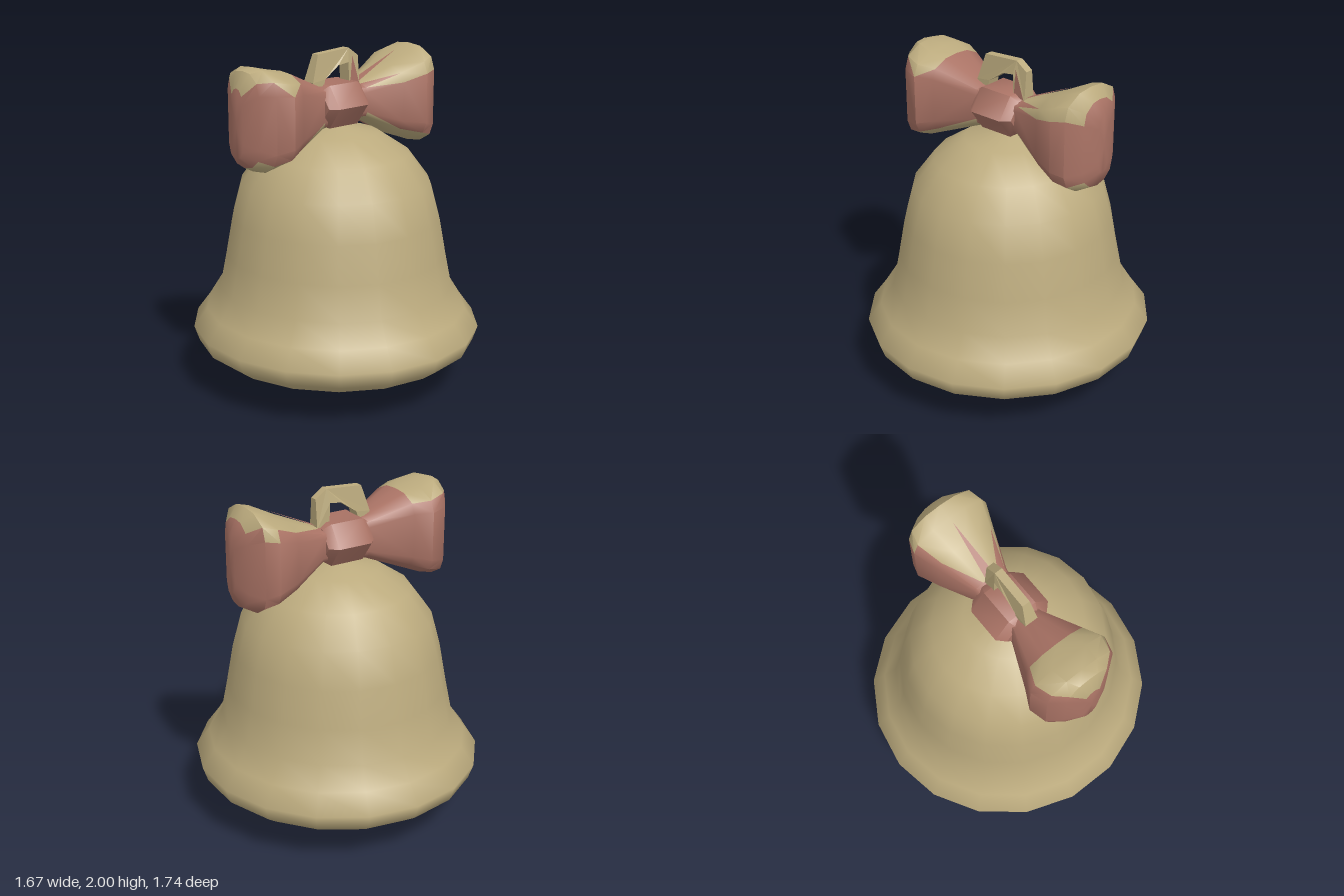
import * as THREE from 'three';
import { toCreasedNormals } from 'three/addons/utils/BufferGeometryUtils.js';

const gold = new THREE.MeshStandardMaterial({ color: 0xbcab7e });
gold.name = 'gold';
const red = new THREE.MeshStandardMaterial({ color: 0xaa7365 });
red.name = 'ribbon red';

function add(group, name, geometry, material) {
  const mesh = new THREE.Mesh(geometry, material);
  mesh.name = name;
  group.add(mesh);
  return mesh;
}

const lathe = (profile, sides) =>
  new THREE.LatheGeometry(profile.map(([x, y]) => new THREE.Vector2(x, y)), sides);

// Single flat triangle, for thin painted marks
function triangle(points) {
  const geometry = new THREE.BufferGeometry();
  geometry.setAttribute('position', new THREE.Float32BufferAttribute(points, 3));
  geometry.computeVertexNormals();
  return geometry;
}

// Rough five-sided mouth of the bell, corners as [x, z]
const mouth = [[0.72, -0.1], [0.1, -0.72], [-0.43, -0.57], [-0.59, 0.42], [0.36, 0.62]];
function mouthRadius(x, z) {
  let radius = Infinity;
  mouth.forEach(([px, pz], i) => {
    const [qx, qz] = mouth[(i + 1) % mouth.length];
    const ex = qx - px, ez = qz - pz;
    const t = (px * ez - pz * ex) / (x * ez - z * ex);
    if (t > 0) radius = Math.min(radius, t);
  });
  return radius;
}

// Inside of the bell: round at the crown, blending to the five-sided mouth at the rim
function bellInside() {
  const geometry = lathe([
    [0, 1.45], [0.3, 1.36], [0.47, 1.15], [0.53, 0.9], [0.58, 0.55], [0.65, 0.33],
    [0.7, 0.215], [0.74, 0.21],
  ], 18);
  const p = geometry.attributes.position;
  for (let i = 0; i < p.count; i++) {
    const x = p.getX(i), z = p.getZ(i), r = Math.hypot(x, z);
    if (r < 0.01 || r > 0.72) continue;
    const blend = THREE.MathUtils.clamp((1 - p.getY(i)) / 0.78, 0, 1);
    const k = THREE.MathUtils.lerp(1, mouthRadius(x / r, z / r) / 0.7, blend);
    p.setX(i, x * k);
    p.setZ(i, z * k);
  }
  return toCreasedNormals(geometry, 0.7);
}

// Cross-section of a bow loop as [height, depth] fractions, from the top round towards +z
const half = [[1, 0], [0.97, 0.45], [0.8, 0.88], [0.55, 1], [-0.55, 1], [-0.78, 0.88], [-0.95, 0.5], [-1, 0]];
const section = [...half, ...half.slice(1, -1).reverse().map(([y, z]) => [y, -z])];
const isTop = (j) => j < 2 || j > 11;
const isShoulder = (j) => j === 2 || j === 11;
const isFrontBottom = (j) => j === 5 || j === 6;

// Bow loop through stations [x, bottom, top, half depth]; goldAt says which triangles are
// gold, "near" marking the triangle of each quad whose base is towards the knot
function bowLoop(side, stations, goldAt) {
  const rings = stations.map(([x, lo, hi, d]) => section.map(([fy, fz]) =>
    [side * x, (lo + hi) / 2 + fy * (hi - lo) / 2, fz * d]));
  const faces = [[], []];
  const n = section.length;
  for (let i = 0; i < rings.length - 1; i++) {
    for (let j = 0; j < n; j++) {
      const k = (j + 1) % n;
      const a = rings[i][j], b = rings[i][k], c = rings[i + 1][k], d = rings[i + 1][j];
      // diagonals mirror front to back, and flip past the middle of the loop
      const flip = (i === 3) !== (j >= 7);
      const tris = flip ? [[a, b, d], [b, c, d]] : [[a, b, c], [a, c, d]];
      tris.forEach((t, index) => {
        const tri = side > 0 ? t : [t[0], t[2], t[1]];
        faces[goldAt(i, j, index === 0) ? 0 : 1].push(...tri.flat());
      });
    }
  }
  const geometry = new THREE.BufferGeometry();
  geometry.setAttribute('position', new THREE.Float32BufferAttribute(faces.flat(), 3));
  geometry.addGroup(0, faces[0].length / 3, 0);
  geometry.addGroup(faces[0].length / 3, faces[1].length / 3, 1);
  return toCreasedNormals(geometry, 0.75);
}

export function createModel() {
  const model = new THREE.Group();
  model.name = 'bell';

  // Bell shell, outside and inside
  const shell = new THREE.Group();
  shell.name = 'bellShell';
  shell.scale.z = 1.025;
  model.add(shell);
  add(shell, 'bellOutside', lathe([
    [0.74, 0.21], [0.82, 0.27], [0.85, 0.36], [0.77, 0.47], [0.69, 0.6],
    [0.65, 0.8], [0.61, 1.02], [0.555, 1.23], [0.43, 1.4], [0.25, 1.52], [0, 1.57],
  ], 18), gold);
  add(shell, 'bellInside', bellInside(), gold);

  // Clapper with its stem
  const clapper = add(model, 'clapper', lathe([
    [0, 0], [0.09, 0.01], [0.2, 0.09], [0.25, 0.23], [0.23, 0.36], [0.13, 0.5],
    [0.05, 0.62], [0.04, 1.46],
  ], 8), gold);
  clapper.position.x = -0.015;

  // Bow
  const bow = new THREE.Group();
  bow.name = 'bow';
  model.add(bow);
  const goldUnder = (i, j, near) => (isFrontBottom(j) && i < 5) || (j === 4 && i === 1 && near);
  add(bow, 'rightLoop', bowLoop(-1, [
    [0.1, 1.56, 1.8, 0.1], [0.16, 1.55, 1.81, 0.1], [0.4, 1.45, 1.92, 0.2],
    [0.5, 1.41, 1.94, 0.25], [0.6, 1.38, 1.965, 0.22], [0.66, 1.41, 1.95, 0.14],
    [0.705, 1.47, 1.86, 0.05], [0.71, 1.65, 1.67, 0],
  ], (i, j, near) => (isTop(j) && i >= 2 && i < 6) || goldUnder(i, j, near)
    || (j === 2 && ((i === 2 && !near) || (i === 3 && near)))
  ), [gold, red]);
  add(bow, 'leftLoop', bowLoop(1, [
    [0.08, 1.58, 1.78, 0.1], [0.15, 1.58, 1.79, 0.11], [0.36, 1.46, 1.88, 0.19],
    [0.5, 1.41, 1.95, 0.245], [0.58, 1.38, 1.975, 0.22], [0.64, 1.41, 1.92, 0.13],
    [0.675, 1.5, 1.84, 0.04], [0.68, 1.66, 1.68, 0],
  ], (i, j, near) => {
    // pointed red streaks run out from the knot on both sides of the top
    const streak = (j === 1 || j === 12) && i === 1 && near;
    return (isTop(j) && i >= 1 && i < 5 && !streak) || goldUnder(i, j, near)
      || (j === 2 && ((i === 1 && !near) || (i > 1 && i < 5)))
      || (isShoulder(j) && i === 3);
  }), [gold, red]);

  // Middle streak on top of the left loop
  add(bow, 'ribbonStreak', triangle([
    0.14, 1.792, 0.03, 0.47, 1.944, 0, 0.14, 1.792, -0.03,
  ]), red);

  // Knot, a tapered six-sided barrel lying along x with a ridge to the front and back
  const knotShape = lathe([[0, -0.155], [0.11, -0.155], [0.145, -0.11], [0.145, 0.1], [0.11, 0.145], [0, 0.145]], 6);
  knotShape.rotateZ(-Math.PI / 2).scale(1, 0.98, 1.25);
  const knot = add(bow, 'knot', toCreasedNormals(knotShape, 0.8), red);
  knot.position.set(-0.01, 1.69, 0);

  // Hanging loop, an angular arch
  const arch = new THREE.Shape([
    [-0.18, 1.77], [-0.2, 1.83], [-0.15, 1.985], [0.08, 2], [0.15, 1.95], [0.15, 1.78],
  ].map(([x, y]) => new THREE.Vector2(x, y)));
  arch.holes.push(new THREE.Path([
    [-0.12, 1.8], [0.07, 1.8], [0.065, 1.92], [-0.01, 1.91], [-0.11, 1.84],
  ].map(([x, y]) => new THREE.Vector2(x, y))));
  const hanger = new THREE.ExtrudeGeometry(arch, { depth: 0.08, bevelEnabled: false });
  hanger.translate(0, 0, -0.04);
  // thinner towards the top
  const p = hanger.attributes.position;
  for (let i = 0; i < p.count; i++) if (p.getY(i) > 1.94) p.setZ(i, p.getZ(i) * 0.6);
  hanger.computeVertexNormals();
  add(model, 'hangingLoop', hanger, gold);
  add(model, 'hangingLoopMark', triangle([
    0.075, 1.79, 0.044, 0.145, 1.79, 0.044, 0.09, 1.955, 0.044,
  ]), red);

  return model;
}
